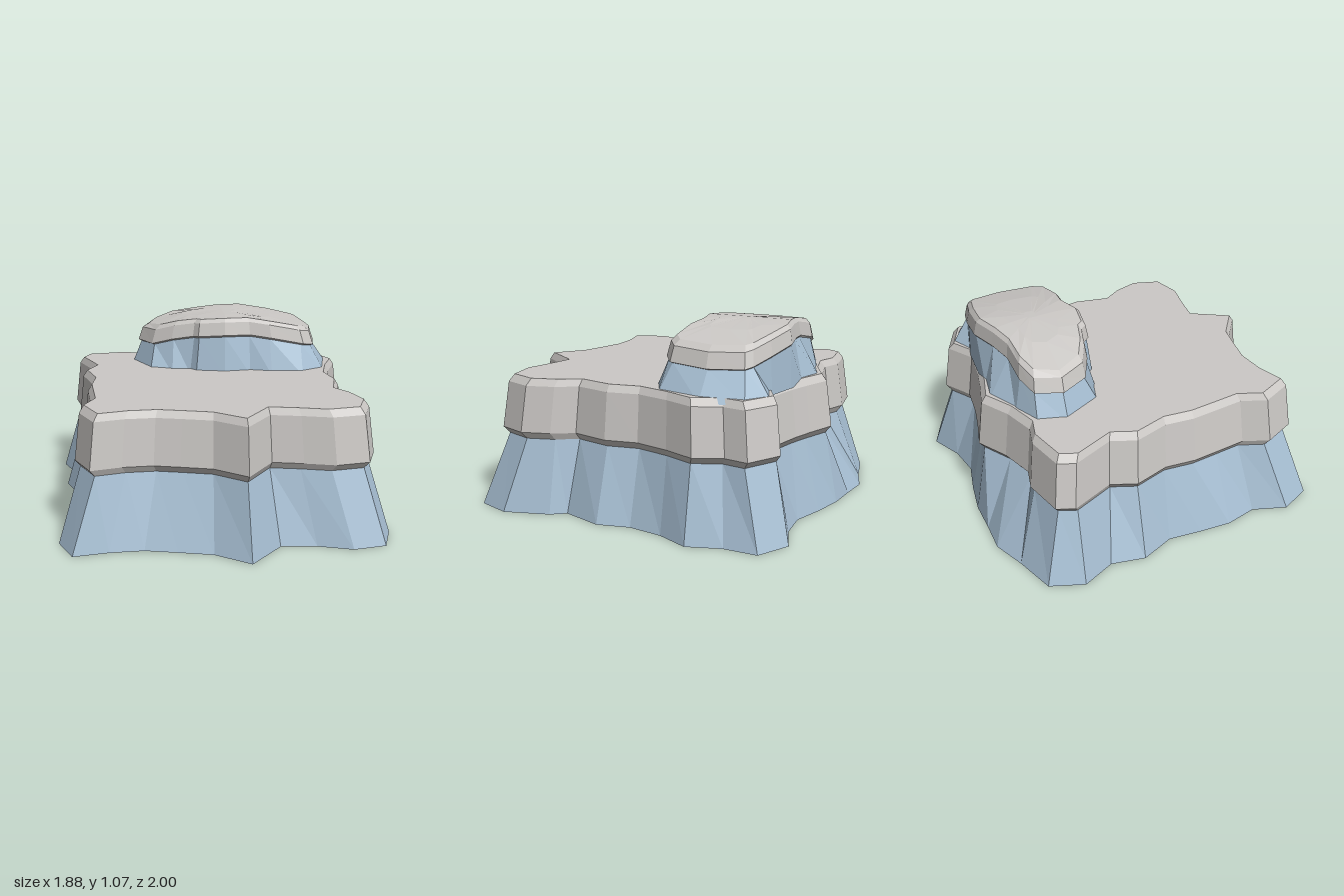
import * as THREE from 'three';

// Ground outline of the lower rock, clockwise from back right corner of the plan
const FOOT = [[-.86, -.875], [-.63, -.935], [-.44, -1], [-.26, -.985], [-.07, -.975], [.12, -.935],
  [.31, -.88], [.5, -.9], [.69, -.975], [.875, -.88], [.875, -.69], [.94, -.5],
  [.86, -.32], [.83, -.12], [.875, .065], [.8, .3], [.86, .38], [.94, .635],
  [.875, .825], [.69, .86], [.5, .8], [.3, .785], [.12, .995], [-.07, .86],
  [-.26, .815], [-.44, .775], [-.63, .785], [-.825, .82], [-.905, .635], [-.83, .445],
  [-.87, .26], [-.855, .08], [-.83, -.115], [-.905, -.31], [-.86, -.5], [-.94, -.69]];

// Widest outline of the lower cap, matching the foot point for point
const LIP = [[-.8, -.79], [-.57, -.83], [-.44, -.79], [-.245, -.84], [-.065, -.93], [.12, -.87],
  [.25, -.835], [.445, -.8], [.615, -.89], [.81, -.79], [.79, -.655], [.86, -.5],
  [.79, -.32], [.74, -.12], [.775, .065], [.725, .28], [.8, .4], [.85, .56],
  [.79, .725], [.6, .76], [.43, .715], [.26, .68], [.11, .9], [-.065, .76],
  [-.235, .715], [-.38, .68], [-.55, .69], [-.72, .735], [-.805, .545], [-.74, .4],
  [-.755, .24], [-.77, .07], [-.75, -.105], [-.81, -.31], [-.745, -.45], [-.845, -.695]];

// Foot of the upper rock and widest outline of the upper cap
const UPPER_FOOT = [[-.475, -.555], [-.42, -.71], [-.26, -.77], [-.07, -.85], [.1, -.81], [.25, -.8],
  [.45, -.77], [.6, -.83], [.74, -.74], [.78, -.5], [.72, -.23], [.57, -.145], [.38, -.16],
  [.25, -.2], [.09, -.18], [-.085, -.22], [-.12, -.265], [-.23, -.27], [-.365, -.32]];
const UPPER_LIP = [[-.43, -.555], [-.37, -.7], [-.25, -.735], [-.07, -.73], [.08, -.76], [.25, -.8],
  [.46, -.77], [.61, -.73], [.655, -.7], [.69, -.5], [.65, -.27], [.58, -.215], [.38, -.21],
  [.25, -.235], [.09, -.2], [-.07, -.235], [-.1, -.275], [-.23, -.32], [-.35, -.39]];

// Arched underside height of the upper cap
const ARCH = [[-.45, .87], [-.35, .875], [-.2, .925], [-.07, .945], [.1, .957], [.22, .955],
  [.4, .93], [.58, .893], [.7, .865]];
function archHeight(x) {
  for (let i = 1; i < ARCH.length; i++) {
    const [x0, y0] = ARCH[i - 1], [x1, y1] = ARCH[i];
    if (x <= x1) return y0 + (y1 - y0) * (x - x0) / (x1 - x0);
  }
  return ARCH[ARCH.length - 1][1];
}

// Outline scaled about a centre and set at a fixed height or a height rule of x
function ring(outline, scale, height, cx = 0, cz = 0) {
  return outline.map(([px, pz]) => {
    const x = cx + (px - cx) * scale, z = cz + (pz - cz) * scale;
    return new THREE.Vector3(x, typeof height === 'function' ? height(x) : height, z);
  });
}

// Skin stacked rings and close both ends
function loft(name, rings, material) {
  const points = [];
  for (let r = 0; r + 1 < rings.length; r++) {
    const lo = rings[r], hi = rings[r + 1];
    for (let i = 0; i < lo.length; i++) {
      const j = (i + 1) % lo.length;
      points.push(lo[i], hi[i], hi[j], lo[i], hi[j], lo[j]);
    }
  }
  const close = (loop, up) => {
    const flat = loop.map((p) => new THREE.Vector2(p.x, p.z));
    for (const [ia, ib, ic] of THREE.ShapeUtils.triangulateShape(flat, [])) {
      const a = loop[ia], b = loop[ib], c = loop[ic];
      const ny = (b.z - a.z) * (c.x - a.x) - (b.x - a.x) * (c.z - a.z);
      if ((ny > 0) === up) points.push(a, b, c);
      else points.push(a, c, b);
    }
  };
  close(rings[0], false);
  close(rings[rings.length - 1], true);
  const geometry = new THREE.BufferGeometry().setFromPoints(points);
  geometry.computeVertexNormals();
  const mesh = new THREE.Mesh(geometry, material);
  mesh.name = name;
  return mesh;
}

export function createModel() {
  const group = new THREE.Group();
  group.name = 'layeredRock';
  const blue = new THREE.MeshStandardMaterial({ color: 0xa8c0d4, flatShading: true });
  blue.name = 'blue stone';
  const grey = new THREE.MeshStandardMaterial({ color: 0xccc9c6, flatShading: true });
  grey.name = 'pale grey cap';

  // Lower tier
  group.add(loft('lowerRock', [ring(FOOT, 1, 0), ring(LIP, .965, .415)], blue));
  group.add(loft('lowerCap', [
    ring(LIP, .965, .41), ring(LIP, 1, .45), ring(LIP, .962, .71), ring(LIP, .93, .75),
  ], grey));

  // Upper tier
  const upper = (scale, rise) => ring(UPPER_LIP, scale, (x) => archHeight(x) + rise, .12, -.5);
  group.add(loft('upperRock', [ring(UPPER_FOOT, 1, .72), upper(.965, .004)], blue));
  group.add(loft('upperCap', [
    upper(.965, 0), upper(1, .012), upper(.95, .09), upper(.88, .112), upper(.5, .114), upper(.1, .114),
  ], grey));
  return group;
}
